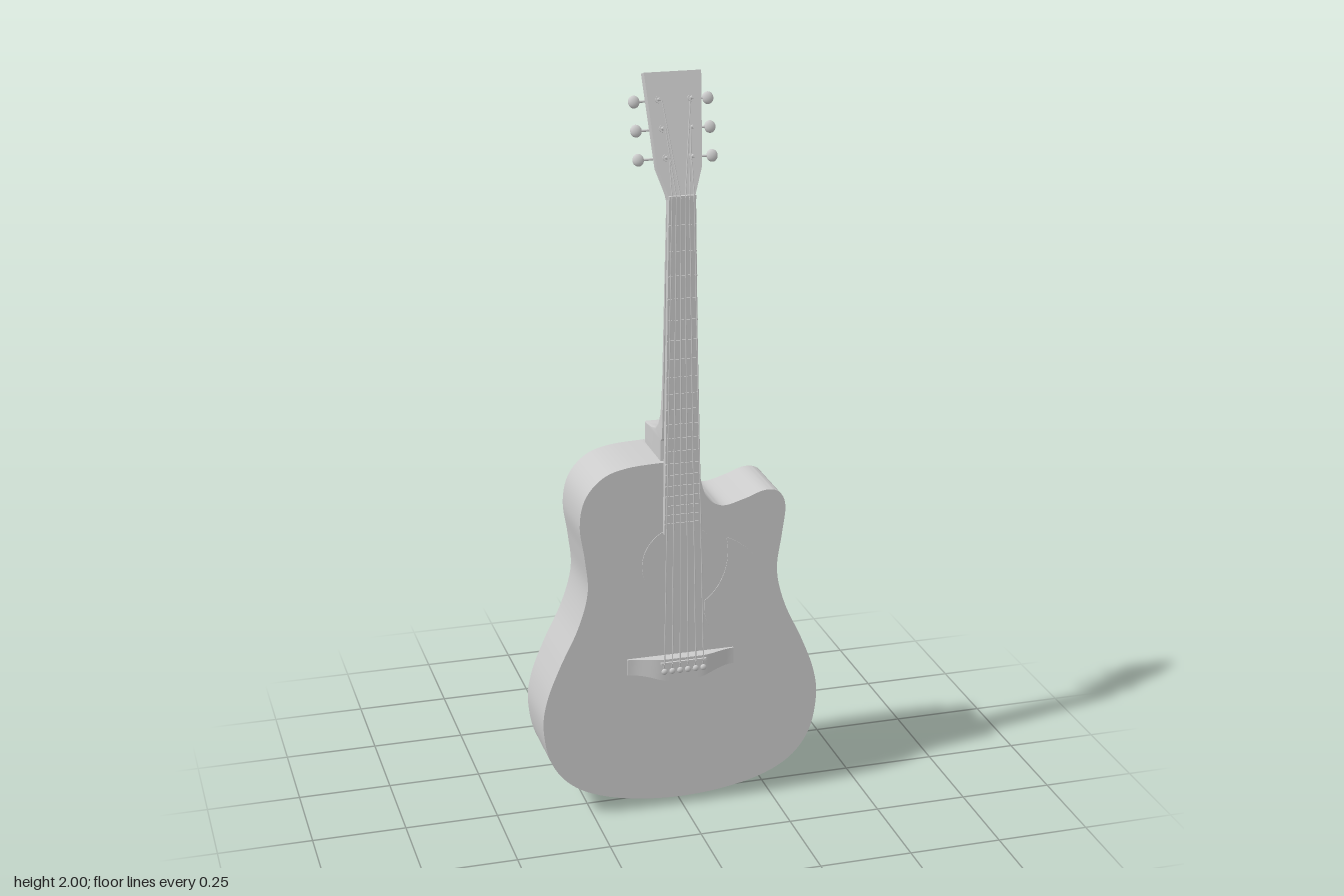
import * as THREE from 'three';
import { toCreasedNormals } from 'three/addons/utils/BufferGeometryUtils.js';

const CX = -0.006;                       // centre line of neck and strings
const FRONT = 0.07, BACK = -0.117;       // body faces
const NUT_Y = 1.7, SADDLE_Y = 0.43, TILT = 0.28;
const mat = new THREE.MeshStandardMaterial({ color: 0xcccccc });
const V = (x, y, z) => new THREE.Vector3(x, y, z);

function add(parent, name, geometry, x = 0, y = 0, z = 0) {
  const m = new THREE.Mesh(geometry, mat);
  m.name = name;
  m.position.set(x, y, z);
  parent.add(m);
  return m;
}

function plate(shape, depth, curveSegments = 10) {
  const g = new THREE.ExtrudeGeometry(shape, { depth, bevelEnabled: false, curveSegments });
  return toCreasedNormals(g, 0.6);
}

function polygon(pts) {
  return new THREE.Shape(pts.map(([x, y]) => new THREE.Vector2(x, y)));
}

function rod(parent, name, a, b, r, sides = 6) {
  const m = add(parent, name, new THREE.CylinderGeometry(r, r, a.distanceTo(b), sides));
  m.position.copy(a).lerp(b, 0.5);
  m.quaternion.setFromUnitVectors(V(0, 1, 0), b.clone().sub(a).normalize());
  return m;
}

// Closed smooth outline with a cutaway beside the neck
function bodyShape() {
  const pts = [
    [0.045, 0.985], [0.05, 0.935], [0.068, 0.885], [0.11, 0.86], [0.17, 0.873], [0.225, 0.891],
    [0.265, 0.882], [0.283, 0.84], [0.274, 0.76], [0.262, 0.66], [0.285, 0.56], [0.335, 0.45], [0.37, 0.355],
    [0.38, 0.27], [0.357, 0.165], [0.29, 0.087], [0.17, 0.04], [0, 0.022], [-0.17, 0.04], [-0.292, 0.087],
    [-0.36, 0.165], [-0.383, 0.27], [-0.372, 0.355], [-0.335, 0.45], [-0.285, 0.555], [-0.258, 0.655],
    [-0.265, 0.75], [-0.277, 0.84], [-0.262, 0.915], [-0.215, 0.968], [-0.15, 0.99], [-0.055, 0.996],
  ].map(([x, y]) => new THREE.Vector2(x, y));
  const s = new THREE.Shape();
  s.moveTo(pts[0].x, pts[0].y);
  s.splineThru(pts.slice(1));
  s.closePath();
  return s;
}

// Neck lofted from squared half-ovals; rows are [y, half width, back z, roundness]
function neckGeometry() {
  const rows = [
    [0.96, 0.05, -0.104, 30], [1.052, 0.05, -0.104, 30], [1.056, 0.05, -0.08, 24], [1.06, 0.05, -0.045, 16],
    [1.07, 0.05, -0.012, 10], [1.088, 0.049, 0.013, 6], [1.12, 0.048, 0.027, 4], [1.2, 0.046, 0.035, 3.2],
    [1.45, 0.041, 0.04, 3], [1.71, 0.035, 0.044, 3],
  ];
  const n = 20, pos = [], idx = [];
  for (const [y, w, zb, e] of rows) {
    for (let i = 0; i <= n; i++) {
      const a = Math.PI * i / n, c = Math.cos(a), s = Math.sin(a);
      pos.push(w * Math.sign(c) * Math.abs(c) ** (2 / e), y, FRONT + (zb - FRONT) * Math.max(s, 0) ** (2 / e));
    }
  }
  const k = n + 1;
  for (let r = 0; r < rows.length - 1; r++) {
    for (let i = 0; i < k; i++) {
      const a = r * k + i, b = r * k + (i + 1) % k;
      idx.push(a, b, a + k, b, b + k, a + k);
    }
  }
  const last = (rows.length - 1) * k;
  for (let i = 1; i < n; i++) idx.push(0, i + 1, i, last, last + i, last + i + 1);
  const g = new THREE.BufferGeometry();
  g.setAttribute('position', new THREE.Float32BufferAttribute(pos, 3));
  g.setIndex(idx);
  return toCreasedNormals(g, 0.6);
}

function addBody(root) {
  add(root, 'body', plate(bodyShape(), FRONT - BACK, 6), 0, 0, BACK);
  // Sound hole inlay and rosette
  const disc = add(root, 'soundHole', new THREE.CylinderGeometry(0.105, 0.105, 0.002, 48), CX, 0.71, FRONT + 0.001);
  disc.rotation.x = Math.PI / 2;
  add(root, 'rosette', new THREE.RingGeometry(0.115, 0.135, 48), CX, 0.71, FRONT + 0.001);
  // Pickguard hugging the sound hole
  const g = new THREE.Shape();
  g.moveTo(0.12, 0.77);
  g.bezierCurveTo(0.19, 0.74, 0.25, 0.66, 0.25, 0.57);
  g.bezierCurveTo(0.25, 0.49, 0.2, 0.48, 0.14, 0.485);
  g.bezierCurveTo(0.08, 0.49, 0.055, 0.53, 0.06, 0.595);
  g.bezierCurveTo(0.11, 0.63, 0.135, 0.7, 0.12, 0.77);
  add(root, 'pickguard', plate(g, 0.003), 0, 0, FRONT);
  // Strap button under the body
  const profile = [[0, 0], [0.01, 0], [0.011, 0.005], [0.006, 0.01], [0.006, 0.03]];
  const button = new THREE.LatheGeometry(profile.map(([x, y]) => new THREE.Vector2(x, y)), 16);
  add(root, 'strapButton', button, CX, 0, -0.02);
}

function addBridge(root) {
  const s = new THREE.Shape();
  s.moveTo(-0.147, 0.45);
  s.lineTo(-0.147, 0.405);
  s.bezierCurveTo(-0.07, 0.405, -0.06, 0.381, 0, 0.381);
  s.bezierCurveTo(0.06, 0.381, 0.07, 0.405, 0.147, 0.405);
  s.lineTo(0.147, 0.45);
  // Split across x so the top can slope down towards the ends
  const N = 24, h = (x) => 0.006 + 0.024 * (1 - THREE.MathUtils.smoothstep(Math.abs(x), 0.05, 0.147));
  const edge = s.getPoints(20).slice(1, -1);
  const low = (x) => {
    const i = Math.max(1, edge.findIndex((p) => p.x >= x - 1e-6));
    const a = edge[i - 1], b = edge[i];
    return a.y + (b.y - a.y) * (x - a.x) / (b.x - a.x);
  };
  const box = new THREE.BoxGeometry(0.294, 1, 1, N, 1, 1), p = box.attributes.position;
  for (let i = 0; i < p.count; i++) {
    const x = p.getX(i);
    p.setY(i, p.getY(i) > 0 ? 0.45 : low(x));
    p.setZ(i, p.getZ(i) > 0 ? FRONT + h(x) : FRONT - 0.002);
  }
  add(root, 'bridge', toCreasedNormals(box, 0.6), CX);
  add(root, 'saddle', new THREE.BoxGeometry(0.125, 0.006, 0.008), CX, 0.44, FRONT + 0.032);
}

function addNeck(root) {
  add(root, 'neck', neckGeometry(), CX);
  const board = polygon([[-0.048, 0.8], [0.048, 0.8], [0.035, NUT_Y], [-0.035, NUT_Y]]);
  add(root, 'fretboard', plate(board, 0.017), CX, 0, FRONT);
  add(root, 'nut', new THREE.BoxGeometry(0.07, 0.01, 0.022), CX, NUT_Y, FRONT + 0.01);
  for (let n = 1; n <= 20; n++) {
    const y = NUT_Y - (NUT_Y - SADDLE_Y) * (1 - 2 ** (-n / 12));
    const w = 0.07 + 0.026 * (NUT_Y - y) / 0.9;
    add(root, 'fret', new THREE.BoxGeometry(w, 0.004, 0.004), CX, y, FRONT + 0.0175);
  }
}

// Tilted headstock with three tuners on each side
function addHead(root) {
  const head = new THREE.Group();
  head.name = 'headstock';
  head.position.set(CX, NUT_Y, 0.083);
  head.rotation.x = -TILT;
  root.add(head);
  const outline = [[-0.035, -0.005], [0.035, -0.005], [0.037, 0.01], [0.058, 0.075], [0.074, 0.312],
    [-0.074, 0.312], [-0.058, 0.075], [-0.037, 0.01]];
  add(head, 'headPlate', plate(polygon(outline), 0.028), 0, 0, -0.028);
  for (const side of [-1, 1]) {
    for (let i = 0; i < 3; i++) {
      const y = 0.1 + i * 0.072, x = side * (0.034 + i * 0.004);
      rod(head, 'tunerPost', V(x, y, -0.02), V(x, y, 0.022), 0.0045, 12);
      rod(head, 'tunerBushing', V(x, y, 0), V(x, y, 0.004), 0.009, 12);
      add(head, 'tunerGear', new THREE.BoxGeometry(0.022, 0.02, 0.014), x, y, -0.034);
      rod(head, 'tunerShaft', V(x, y, -0.036), V(side * 0.088, y, -0.036), 0.003, 8);
      add(head, 'tunerKnob', new THREE.SphereGeometry(1, 16, 10), side * 0.096, y, -0.036).scale.set(0.015, 0.016, 0.009);
    }
  }
  head.updateMatrix();
  return head;
}

function addStrings(root, head) {
  for (let i = 0; i < 6; i++) {
    const t = i - 2.5, side = Math.sign(t);
    const bx = CX + t * 0.0215, nx = CX + t * 0.0115;
    const post = i < 3 ? i : 5 - i;      // outer strings reach the nearest posts
    const end = V(side * (0.034 + post * 0.004 - 0.005), 0.1 + post * 0.072, 0.013).applyMatrix4(head.matrix);
    const saddle = V(bx, 0.44, FRONT + 0.037), nut = V(nx, NUT_Y, FRONT + 0.022);
    rod(root, 'string', saddle, nut, 0.0016);
    rod(root, 'stringHead', nut, end, 0.0016);
    rod(root, 'stringTail', V(bx, 0.42, FRONT + 0.028), saddle, 0.0016);
    // Bridge pin
    rod(root, 'bridgePin', V(bx, 0.418, FRONT + 0.02), V(bx, 0.418, FRONT + 0.036), 0.005, 10);
    add(root, 'bridgePinHead', new THREE.SphereGeometry(0.0085, 12, 8), bx, 0.418, FRONT + 0.036).scale.z = 0.7;
  }
}

export function createModel() {
  const root = new THREE.Group();
  root.name = 'guitar';
  addBody(root);
  addBridge(root);
  addNeck(root);
  addStrings(root, addHead(root));
  return root;
}
